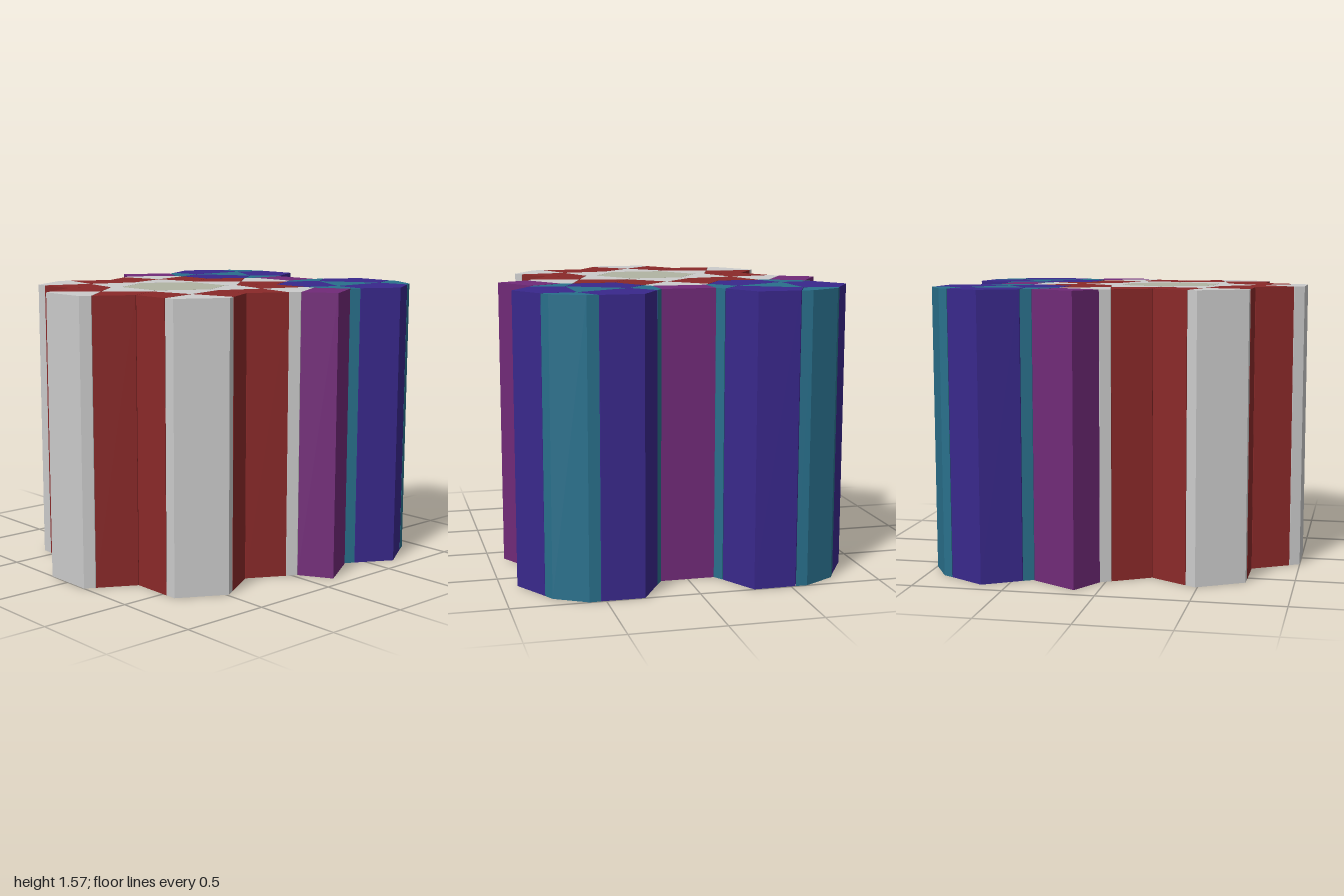
import * as THREE from 'three';

const HEIGHT = 1.57;
const GAP = 0.002; // hairline joint between neighbouring tiles

const material = (color) => new THREE.MeshStandardMaterial({ color, flatShading: true, side: THREE.DoubleSide });

// Rotate a plan point [x, z] and move it to a centre
function place([x, z], angle, [cx, cz]) {
  const c = Math.cos(angle), s = Math.sin(angle);
  return [cx + x * c - z * s, cz + x * s + z * c];
}

// Tall hollow tile: convex plan outline, capped on top, open underneath
function tileGeometry(outline) {
  const n = outline.length;
  const mx = outline.reduce((t, p) => t + p[0], 0) / n;
  const mz = outline.reduce((t, p) => t + p[1], 0) / n;
  let pts = outline.map(([x, z]) => {
    const k = 1 - GAP / Math.hypot(x - mx, z - mz);
    return [mx + (x - mx) * k, mz + (z - mz) * k];
  });
  // Counter-clockwise when seen from above
  let area = 0;
  pts.forEach(([x, z], i) => {
    const [x2, z2] = pts[(i + 1) % n];
    area += x * z2 - x2 * z;
  });
  if (area > 0) pts = pts.reverse();

  const pos = [];
  const put = ([x, z], y) => pos.push(x, y, z);
  for (let i = 0; i < n; i++) {
    const a = pts[i], b = pts[(i + 1) % n];
    put(a, 0); put(b, 0); put(b, HEIGHT);
    put(a, 0); put(b, HEIGHT); put(a, HEIGHT);
    if (i > 0 && i < n - 1) {
      put(pts[0], HEIGHT); put(a, HEIGHT); put(b, HEIGHT);
    }
  }
  const g = new THREE.BufferGeometry();
  g.setAttribute('position', new THREE.Float32BufferAttribute(pos, 3));
  g.computeVertexNormals();
  return g;
}

export function createModel() {
  const model = new THREE.Group();
  const grey = material(0xcccccc), olive = material(0xb1b4a3), red = material(0x8a2929);
  const purple = material(0x712a78), blue = material(0x39288c), teal = material(0x29708c);

  const group = (name) => {
    const g = new THREE.Group();
    g.name = name;
    model.add(g);
    return g;
  };
  const tile = (parent, name, mat, outline, angle, centre) => {
    const mesh = new THREE.Mesh(tileGeometry(outline.map((p) => place(p, angle, centre))), mat);
    mesh.name = name;
    parent.add(mesh);
  };
  const flip = (pts) => pts.map(([x, z]) => [x, -z]);

  // Six-pointed rosette; outlines are for the arm pointing along +x
  const rosette = group('rosette');
  const C = [-0.23, 0];
  const hexCorner = [0.257, 0.148], inner = [0.31, 0.179], tip = [0.514, 0];
  const notch = [0.514, 0.297], shoulder = [0.715, 0.18], end = [0.77, 0.148];
  const petal = [hexCorner, inner, tip, ...flip([inner, hexCorner])];
  const point = [tip, shoulder, end, ...flip([end, shoulder])];
  const kite = [notch, shoulder, tip, inner];
  const block = [end, [0.975, 0.148], [0.975, -0.148], [0.77, -0.148]];

  const hexagon = [];
  for (let i = 0; i < 6; i++) {
    const a = (i * Math.PI) / 3;
    hexagon.push(place(hexCorner, a, [0, 0]));
    tile(rosette, 'innerPetal', grey, petal, a, C);
    tile(rosette, 'outerPoint', grey, point, a, C);
    tile(rosette, 'redKite', red, kite, a, C);
    tile(rosette, 'redKite', red, flip(kite), a, C);
  }
  tile(rosette, 'centreHexagon', olive, hexagon, 0, C);

  // Square blocks on the three arms on the +x side
  const blocks = group('linkBlocks');
  for (const i of [-1, 0, 1]) tile(blocks, 'linkBlock', purple, block, (i * Math.PI) / 3, C);

  // Two mirrored columns with threefold symmetry
  const apex = [0, -0.205];
  const corner = [apex, [0.155, -0.32], [0.102, -0.353], [-0.102, -0.353], [-0.155, -0.32]];
  const third = (Math.PI * 2) / 3;
  const turn = (p, k) => place(p, k * third, [0, 0]);
  const wedge = [apex, turn(apex, 1), turn([-0.155, -0.32], 1), [0.357, -0.206], [0.155, -0.32]];
  const triangle = [0, 1, 2].map((k) => turn(apex, k));
  for (const side of [1, -1]) {
    const column = group(side > 0 ? 'frontColumn' : 'backColumn');
    const D = [0.643, 0.5 * side];
    const m = (pts) => (side > 0 ? pts : flip(pts));
    tile(column, 'coreTriangle', teal, m(triangle), 0, D);
    for (let k = 0; k < 3; k++) {
      tile(column, 'cornerWedge', teal, m(corner), k * third, D);
      tile(column, 'blueWedge', blue, m(wedge), k * third, D);
    }
  }
  return model;
}
